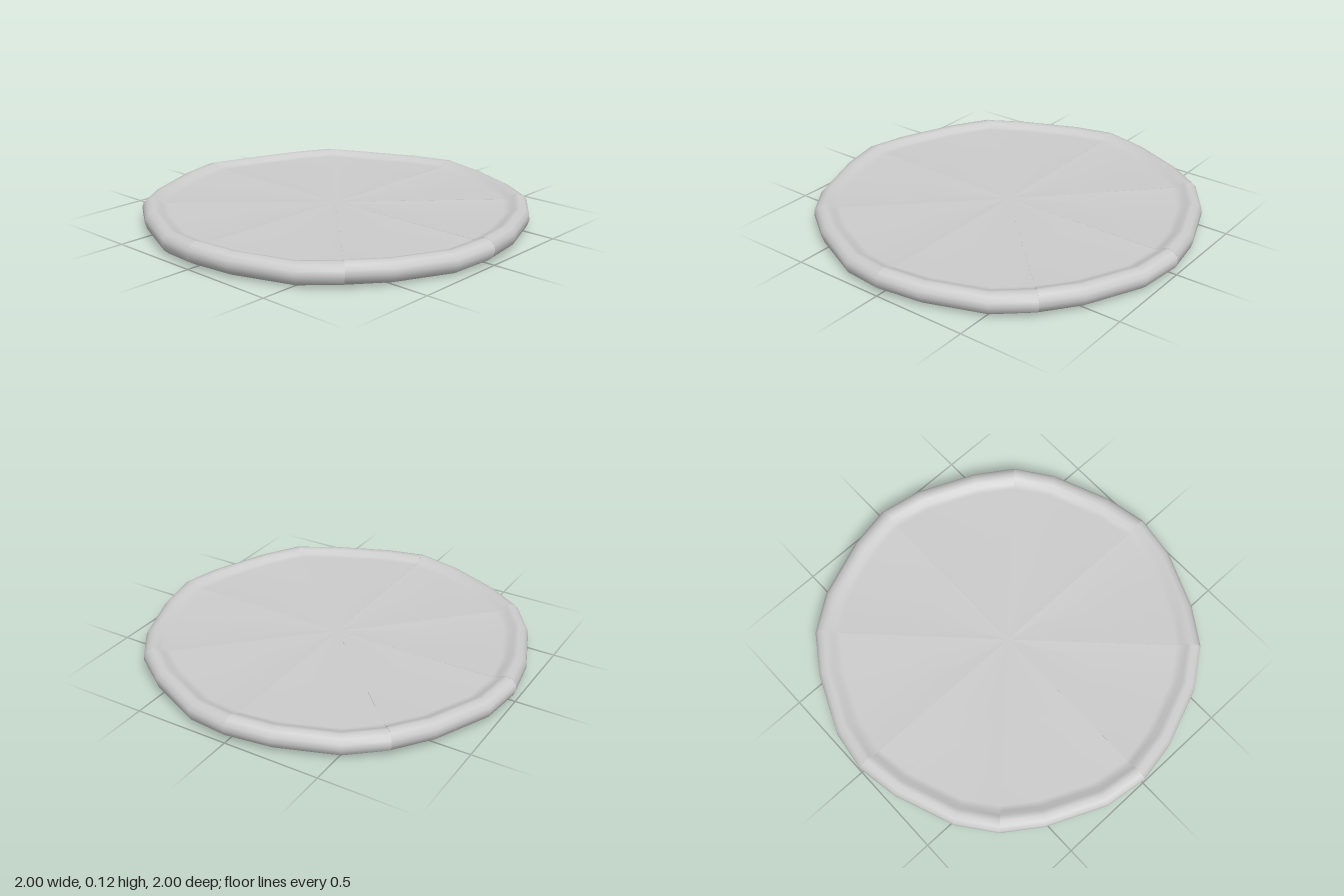
import * as THREE from 'three';

// Cross-section of a slice from the top centre, over the crust, back to the bottom centre: [radius, y]
const PROFILE = [
  [0, 0.092], [0.45, 0.092], [0.87, 0.092], [0.9, 0.097], [0.925, 0.115], [0.95, 0.119],
  [0.978, 0.11], [0.997, 0.088], [1, 0.062], [0.99, 0.032], [0.965, 0.012],
  [0.935, 0.006], [0.905, 0.017], [0.885, 0.033], [0.45, 0.035], [0, 0.035],
];

// Uneven hand-rolled stations across one slice: angle in degrees, radius scale, height shift
const STATIONS = [[0, 1, 0.006], [13, 0.985, -0.001], [32, 0.993, -0.006], [45, 1, 0.005]];

function stationPoint([deg, scale, lift], [r, y]) {
  const a = THREE.MathUtils.degToRad(deg);
  const k = r * (r > 0.5 ? scale : 1);
  return [k * Math.sin(a), y + lift * Math.min(1, r / 0.9), k * Math.cos(a)];
}

// Top, crust and underside of one slice, smooth along its surface
function sliceSkin() {
  const positions = [], index = [], n = PROFILE.length;
  for (const s of STATIONS) for (const p of PROFILE) positions.push(...stationPoint(s, p));
  for (let i = 0; i < STATIONS.length - 1; i++) {
    for (let j = 0; j < n - 1; j++) {
      const a = i * n + j, b = a + 1, c = a + n, d = c + 1;
      if (j < n - 2) index.push(a, b, d);
      else index.push(a, b, c);
      if (j > 0 && j < n - 2) index.push(a, d, c);
    }
  }
  const geometry = new THREE.BufferGeometry();
  geometry.setAttribute('position', new THREE.Float32BufferAttribute(positions, 3));
  geometry.setIndex(index);
  geometry.computeVertexNormals();
  return geometry;
}

// Flat cut face at one end of a slice
function cutFace(station) {
  const outline = PROFILE.map(p => new THREE.Vector2(...p));
  const positions = PROFILE.flatMap(p => stationPoint(station, p));
  const faces = THREE.ShapeUtils.triangulateShape(outline, []);
  const geometry = new THREE.BufferGeometry();
  geometry.setAttribute('position', new THREE.Float32BufferAttribute(positions, 3));
  geometry.setIndex(faces.flat());
  geometry.computeVertexNormals();
  return geometry;
}

export function createModel() {
  const model = new THREE.Group();
  model.name = 'slicedRoundFlatbread';
  const material = new THREE.MeshStandardMaterial({ color: 0xcccccc, side: THREE.DoubleSide });
  const parts = {
    toppingAndCrust: sliceSkin(),
    firstCutFace: cutFace(STATIONS[0]),
    secondCutFace: cutFace(STATIONS[STATIONS.length - 1]),
  };

  // Eight equal slices around the centre
  for (let i = 0; i < 8; i++) {
    const slice = new THREE.Group();
    slice.name = `slice${i + 1}`;
    slice.rotation.y = (i * Math.PI) / 4;
    for (const [name, geometry] of Object.entries(parts)) {
      const mesh = new THREE.Mesh(geometry, material);
      mesh.name = name;
      slice.add(mesh);
    }
    model.add(slice);
  }
  return model;
}
